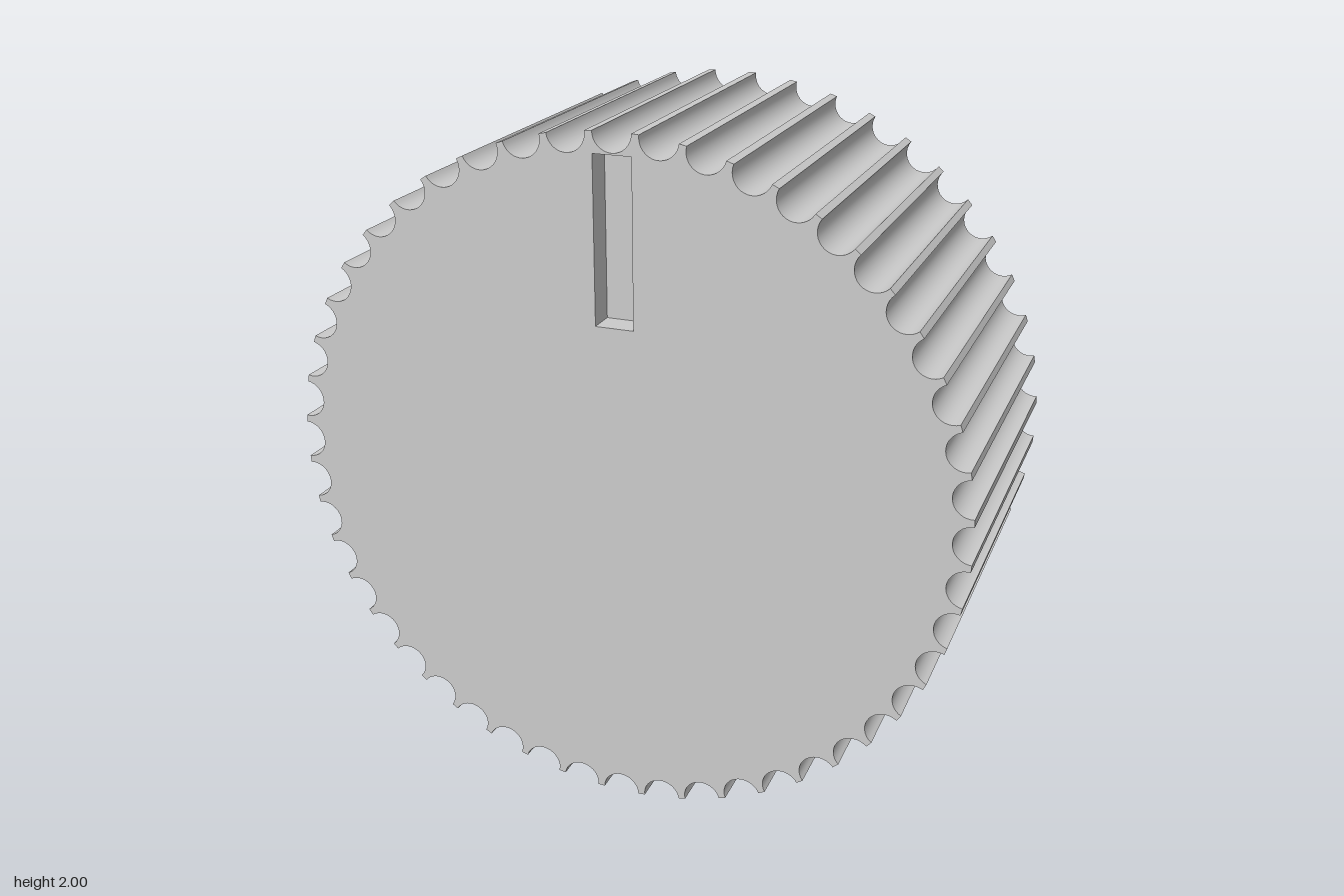
import * as THREE from 'three';
import { mergeGeometries, toCreasedNormals } from 'three/addons/utils/BufferGeometryUtils.js';

const HALF = 0.467;      // half the width along z
const FLUTES = 48;
const FLUTE_R = 0.055;
const SLOT_DEPTH = 0.08;
const BORE_DEPTH = 0.7;

const vec = (x, y) => new THREE.Vector2(x, y);

// Counter-clockwise rim with round flutes cut into it
function rimOutline() {
  const pts = [], steps = 16;
  for (let i = 0; i < FLUTES; i++) {
    const a = (i / FLUTES) * Math.PI * 2, c = Math.cos(a), s = Math.sin(a);
    for (let k = 0; k <= steps; k++) {
      const p = (k / steps - 0.5) * Math.PI;
      const u = 1 - FLUTE_R * Math.cos(p), t = FLUTE_R * Math.sin(p);
      pts.push(vec(u * c - t * s, u * s + t * c));
    }
  }
  return pts;
}

// Counter-clockwise D: round below, flat on top
function boreOutline() {
  const r = 0.205, a0 = Math.asin(0.1 / r), steps = 48, pts = [];
  for (let k = 0; k <= steps; k++) {
    const a = Math.PI - a0 + (k / steps) * (Math.PI + 2 * a0);
    pts.push(vec(r * Math.cos(a), r * Math.sin(a)));
  }
  return pts;
}

// Wall along z facing out of a counter-clockwise outline, into a clockwise one
function wall(pts, z0, z1) {
  const pos = [], uv = [];
  pts.forEach((p, i) => {
    const q = pts[(i + 1) % pts.length];
    pos.push(p.x, p.y, z0, q.x, q.y, z0, q.x, q.y, z1);
    pos.push(p.x, p.y, z0, q.x, q.y, z1, p.x, p.y, z1);
    uv.push(0, 0, 1, 0, 1, 1, 0, 0, 1, 1, 0, 1);
  });
  const g = new THREE.BufferGeometry();
  g.setAttribute('position', new THREE.Float32BufferAttribute(pos, 3));
  g.setAttribute('uv', new THREE.Float32BufferAttribute(uv, 2));
  return toCreasedNormals(g, 0.6);
}

// Flat face at height z, turned to face the back if asked; outlines are symmetric in x
function cap(pts, z, hole, back = false) {
  const shape = new THREE.Shape(pts);
  if (hole) shape.holes.push(new THREE.Path(hole));
  const g = new THREE.ShapeGeometry(shape);
  if (back) g.rotateY(Math.PI);
  return g.translate(0, 0, z).toNonIndexed();
}

export function createModel() {
  const group = new THREE.Group();
  const material = new THREE.MeshStandardMaterial({ color: 0xcccccc });
  const add = (name, ...parts) => {
    const mesh = new THREE.Mesh(mergeGeometries(parts), material);
    mesh.name = name;
    mesh.position.y = 1;
    group.add(mesh);
  };

  const rim = rimOutline();
  const bore = boreOutline();
  const slot = [vec(-0.055, 0.47), vec(0.055, 0.47), vec(0.055, 0.94), vec(-0.055, 0.94)];
  const inward = (pts) => [...pts].reverse();

  add('flutedRim', wall(rim, -HALF, HALF));
  add('frontFace', cap(rim, HALF, slot));
  add('backFace', cap(rim, -HALF, bore, true));

  // Shallow pointer slot in the front
  add('pointerSlot',
    wall(inward(slot), HALF - SLOT_DEPTH, HALF),
    cap(slot, HALF - SLOT_DEPTH));

  // Blind D-shaped shaft hole in the back
  add('shaftHole',
    wall(inward(bore), -HALF, -HALF + BORE_DEPTH),
    cap(bore, -HALF + BORE_DEPTH, null, true));

  return group;
}
